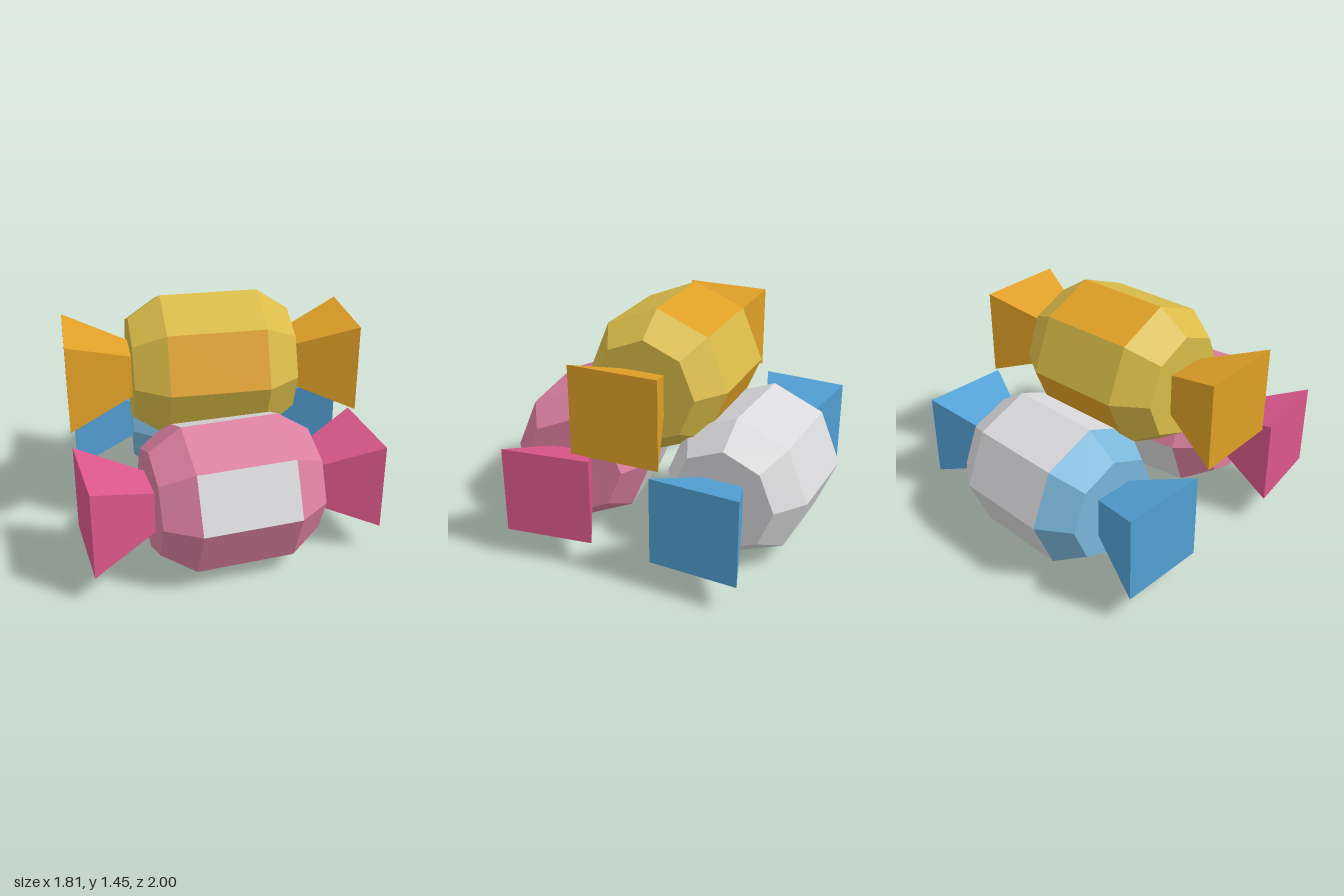
import * as THREE from 'three';

const R = 0.4425, END_R = 0.314; // body radius, radius of the bevelled ends
const HALF = 0.285, END = 0.475; // half length of the middle band, of the whole body
const TIP = 0.852; // outer end of the twisted wrapper

function mat(name, color) {
  const m = new THREE.MeshStandardMaterial({ color });
  m.name = name;
  return m;
}

// Faceted copy with one normal per face
function faceted(geometry) {
  const g = geometry.toNonIndexed();
  g.computeVertexNormals();
  return g;
}

function add(group, name, geometry, material) {
  const mesh = new THREE.Mesh(faceted(geometry), material);
  mesh.name = name;
  group.add(mesh);
}

function makeCandy(name, position, turn, { base, stripe, rightEnd, wrapper }) {
  const candy = new THREE.Group();
  candy.name = name;

  // Middle band: eight long facets in alternating colours
  const middle = new THREE.CylinderGeometry(R, R, HALF * 2, 8, 1, true);
  middle.rotateZ(-Math.PI / 2);
  middle.clearGroups();
  for (let i = 0; i < 8; i++) middle.addGroup(i * 6, 6, i % 2);
  add(candy, 'bodyBand', middle, [base, stripe]);

  for (const side of [1, -1]) {
    const label = side > 0 ? 'left' : 'right';
    const endMaterial = side > 0 ? base : rightEnd;

    // Bevelled end and its flat cap
    const bevel = new THREE.CylinderGeometry(END_R, R, END - HALF, 8, 1, true);
    bevel.rotateZ(-side * Math.PI / 2);
    bevel.translate(side * (END + HALF) / 2, 0, 0);
    add(candy, label + 'Bevel', bevel, endMaterial);

    const cap = new THREE.CircleGeometry(END_R, 8);
    cap.rotateY(side * Math.PI / 2);
    cap.translate(side * END, 0, 0);
    add(candy, label + 'Cap', cap, endMaterial);

    // Square wrapper end flaring outwards
    const length = TIP - END;
    const flare = new THREE.CylinderGeometry(0.265 * Math.SQRT2, 0.127 * Math.SQRT2, length, 4);
    flare.rotateY(Math.PI / 4);
    flare.rotateZ(-side * Math.PI / 2);
    flare.translate(side * (END + length / 2), 0, 0);
    flare.clearGroups();
    add(candy, label + 'Wrapper', flare, wrapper);
  }

  candy.position.set(...position);
  candy.rotation.y = turn;
  return candy;
}

export function createModel() {
  const yellow = mat('yellow', 0xd9bb48);
  const orange = mat('orange', 0xe0a026);
  const pink = mat('pink', 0xdb7f9f);
  const deepPink = mat('deep pink', 0xdb578a);
  const white = mat('pale grey', 0xdadadc);
  const paleBlue = mat('pale blue', 0x7ab6da);
  const blue = mat('blue', 0x52a0d4);

  const model = new THREE.Group();
  model.name = 'candyPile';
  model.add(
    makeCandy('topCandy', [-0.037, 1.01, 0.002], -0.05,
      { base: yellow, stripe: orange, rightEnd: yellow, wrapper: orange }),
    makeCandy('frontCandy', [-0.035, R, 0.535], 0.07,
      { base: pink, stripe: white, rightEnd: pink, wrapper: deepPink }),
    makeCandy('backCandy', [0.033, R, -0.529], -0.108,
      { base: white, stripe: white, rightEnd: paleBlue, wrapper: blue }),
  );
  return model;
}
